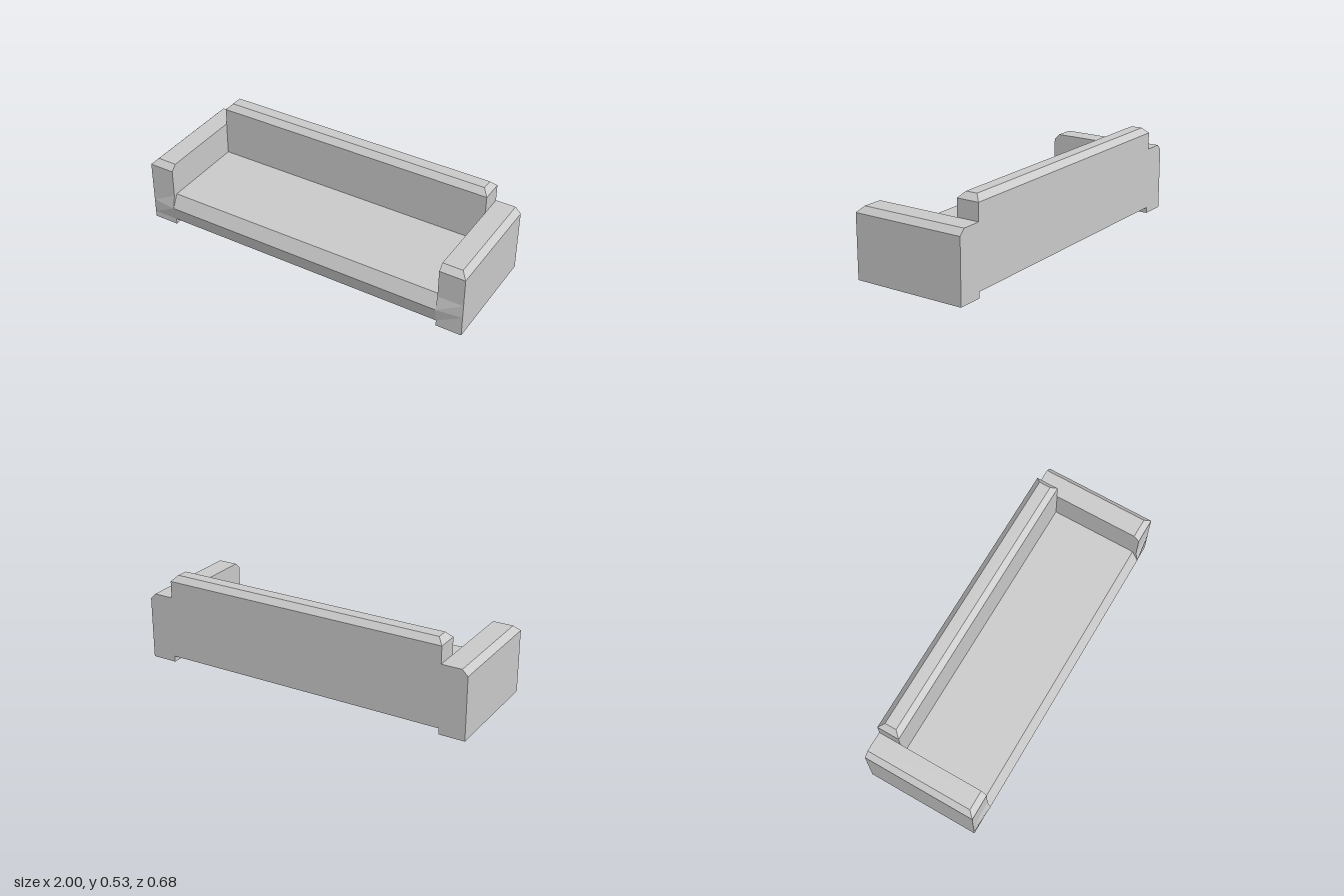
import * as THREE from 'three';

const BACK = -0.342;
const material = new THREE.MeshStandardMaterial({ color: 0xcccccc, flatShading: true });

// Stack four-cornered levels [y, xMin, xMax, zBack, zFront at xMin, zFront at xMax]
function loft(name, levels) {
  const loops = levels.map(([y, x0, x1, zb, zf0, zf1 = zf0]) =>
    [[x0, y, zb], [x0, y, zf0], [x1, y, zf1], [x1, y, zb]]);
  const positions = [];
  const quad = (a, b, c, d) => positions.push(...a, ...b, ...c, ...a, ...c, ...d);
  for (let i = 0; i < loops.length - 1; i++) {
    for (let j = 0; j < 4; j++) {
      const k = (j + 1) % 4;
      quad(loops[i][j], loops[i][k], loops[i + 1][k], loops[i + 1][j]);
    }
  }
  quad(...loops[loops.length - 1]);
  quad(...[...loops[0]].reverse());
  const geometry = new THREE.BufferGeometry();
  geometry.setAttribute('position', new THREE.Float32BufferAttribute(positions, 3));
  geometry.computeVertexNormals();
  const mesh = new THREE.Mesh(geometry, material);
  mesh.name = name;
  return mesh;
}

// Armrest: front bulges at its inner edge, bevelled on the outer and front top edges
function armrest(side) {
  // [y, outer x, outer front z, inner front z]
  const levels = [
    [0, 1, 0.325, 0.325],
    [0.035, 1, 0.325, 0.325],
    [0.12, 1, 0.325, 0.342],
    [0.2, 1, 0.325, 0.325],
    [0.367, 1, 0.325, 0.325],
    [0.4, 0.967, 0.292, 0.292],
  ].map(([y, outer, zo, zi]) => side > 0
    ? [y, 0.85, outer, BACK, zi, zo]
    : [y, -outer, -0.85, BACK, zo, zi]);
  return loft(side > 0 ? 'leftArmrest' : 'rightArmrest', levels);
}

export function createModel() {
  const sofa = new THREE.Group();
  sofa.name = 'sofa';

  // Seat with a pointed front edge
  sofa.add(loft('seat', [
    [0.035, -0.85, 0.85, -0.21, 0.325],
    [0.12, -0.85, 0.85, -0.21, 0.342],
    [0.2, -0.85, 0.85, -0.21, 0.302],
  ]));

  // Backrest bevelled all around its top
  sofa.add(loft('backrest', [
    [0.035, -0.85, 0.85, BACK, -0.21],
    [0.5, -0.85, 0.85, BACK, -0.21],
    [0.533, -0.818, 0.818, BACK + 0.032, -0.242],
  ]));

  for (const side of [1, -1]) sofa.add(armrest(side));
  return sofa;
}
